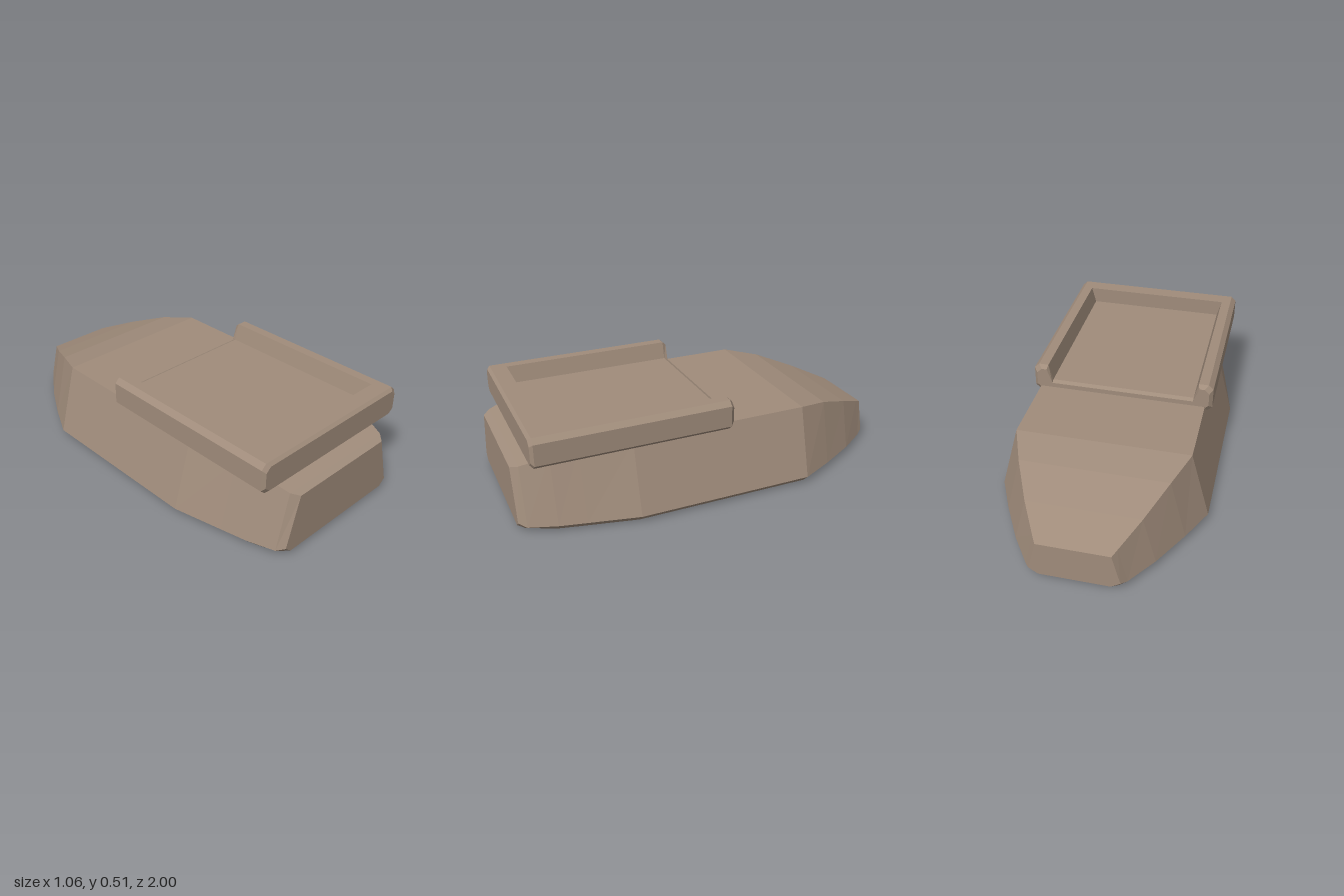
import * as THREE from 'three';

const material = new THREE.MeshStandardMaterial({ color: 0xa08c7b, flatShading: true });

// Skins mirrored cross-sections, ordered from front to back.
// Each section is { z, half }, half being [x, y] points from bottom centre outwards and up.
function loft(name, sections) {
  const rings = sections.map(({ z, half }) => {
    const left = half.map(([x, y]) => [-x, y]).reverse();
    return [...half, ...left].map(([x, y]) => new THREE.Vector3(x, y, z));
  });
  const n = rings[0].length;
  const positions = rings.flat().flatMap((p) => p.toArray());
  const index = [];
  for (let i = 0; i < rings.length - 1; i++) {
    for (let j = 0; j < n; j++) {
      const k = (j + 1) % n;
      const a = i * n + j, b = i * n + k, c = b + n, d = a + n;
      index.push(a, d, c, a, c, b);
    }
  }
  // End caps
  const cap = (ring) => THREE.ShapeUtils.triangulateShape(ring.map((p) => new THREE.Vector2(p.x, p.y)), []);
  const last = (rings.length - 1) * n;
  for (const [a, b, c] of cap(rings[0])) index.push(a, b, c);
  for (const [a, b, c] of cap(rings[rings.length - 1])) index.push(last + a, last + c, last + b);

  const indexed = new THREE.BufferGeometry();
  indexed.setAttribute('position', new THREE.Float32BufferAttribute(positions, 3));
  indexed.setIndex(index);
  const geometry = indexed.toNonIndexed();
  geometry.computeVertexNormals();
  const mesh = new THREE.Mesh(geometry, material);
  mesh.name = name;
  return mesh;
}

// Tapered body: z, bottom half width and y, chamfer half width and y, top half width and y
function createHull() {
  const rows = [
    [1.0, 0.335, 0.02, 0.37, 0.05, 0.295, 0.308],
    [0.965, 0.345, 0, 0.4, 0.035, 0.328, 0.32],
    [0.83, 0.41, 0, 0.446, 0.035, 0.365, 0.36],
    [0.7, 0.44, 0, 0.475, 0.035, 0.386, 0.376],
    [0.45, 0.495, 0, 0.53, 0.035, 0.434, 0.39],
    [-0.455, 0.495, 0, 0.53, 0.035, 0.434, 0.39],
    [-0.63, 0.405, 0, 0.445, 0.035, 0.365, 0.355],
    [-0.82, 0.3, 0, 0.34, 0.035, 0.276, 0.286],
    [-0.965, 0.2, 0, 0.24, 0.035, 0.195, 0.225],
    [-1.0, 0.17, 0.02, 0.215, 0.05, 0.175, 0.21],
  ];
  return loft('hull', rows.map(([z, bx, by, mx, my, tx, ty]) => (
    { z, half: [[bx, by], [mx, my], [tx, ty]] })));
}

// Shallow tray: solid bar in front, raised rails on both sides, open at the back
function createTray() {
  const section = (z, inset, floor, innerX = 0.395) => ({
    z,
    half: [
      [0.445 - inset, 0.36 + inset],
      [0.47 - inset, 0.382 + inset],
      [0.47 - inset, 0.488 - inset],
      [0.445 - inset, 0.512 - inset],
      [innerX, 0.512 - inset],
      [0.372, floor],
    ],
  });
  return loft('tray', [
    section(0.935, 0.014, 0.498),
    section(0.92, 0, 0.512),
    section(0.84, 0, 0.512),
    section(0.84, 0, 0.425),
    section(-0.04, 0, 0.425),
    section(-0.06, 0.018, 0.415, 0.4),
  ]);
}

export function createModel() {
  const model = new THREE.Group();
  model.name = 'model';
  model.add(createHull(), createTray());
  return model;
}
